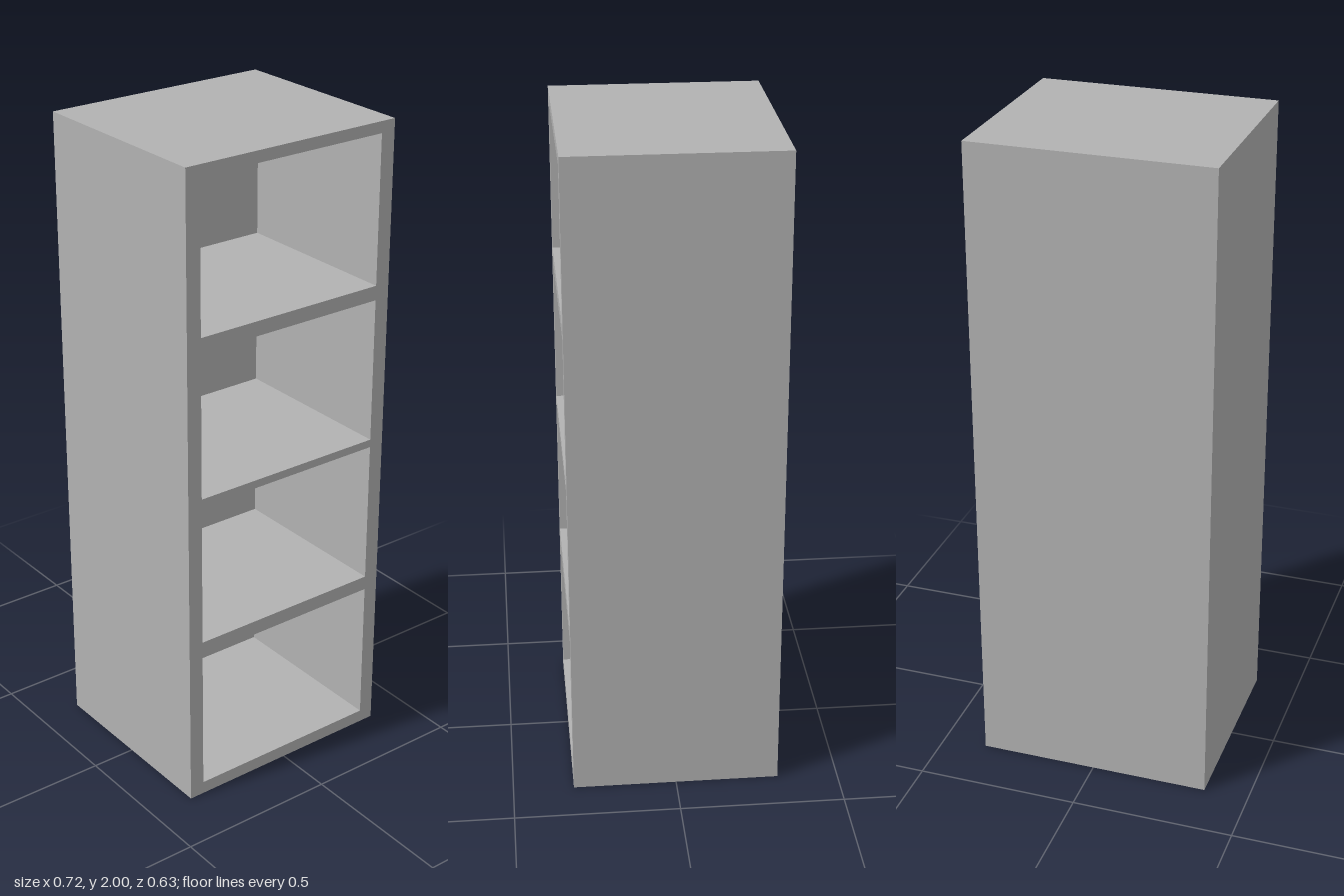
import * as THREE from 'three';

const WIDTH = 0.724, HEIGHT = 2, DEPTH = 0.63, BACK = 0.075;
const OPENING = 0.63; // clear width of each compartment
// Bottom and top height of each compartment
const COMPARTMENTS = [[0.04, 0.495], [0.54, 0.99], [1.015, 1.465], [1.51, 1.965]];

// Counter-clockwise rectangle, centred on x
function rectangle(path, width, y0, y1) {
  const w = width / 2;
  path.moveTo(-w, y0);
  path.lineTo(w, y0);
  path.lineTo(w, y1);
  path.lineTo(-w, y1);
  path.closePath();
  return path;
}

export function createModel() {
  const model = new THREE.Group();
  model.name = 'bookcase';

  const grey = new THREE.MeshStandardMaterial({ color: 0xb2b2b2 });
  grey.name = 'grey';

  // Sides, top, base and shelves in one frame with four openings
  const outline = rectangle(new THREE.Shape(), WIDTH, 0, HEIGHT);
  for (const [y0, y1] of COMPARTMENTS) {
    outline.holes.push(rectangle(new THREE.Path(), OPENING, y0, y1));
  }
  const frame = new THREE.Mesh(
    new THREE.ExtrudeGeometry(outline, { depth: DEPTH - BACK, bevelEnabled: false }),
    grey
  );
  frame.name = 'shelfFrame';
  frame.position.z = -DEPTH / 2 + BACK;
  model.add(frame);

  // Solid back closing the compartments
  const back = new THREE.Mesh(new THREE.BoxGeometry(WIDTH, HEIGHT, BACK), grey);
  back.name = 'backPanel';
  back.position.set(0, HEIGHT / 2, -DEPTH / 2 + BACK / 2);
  model.add(back);

  return model;
}
